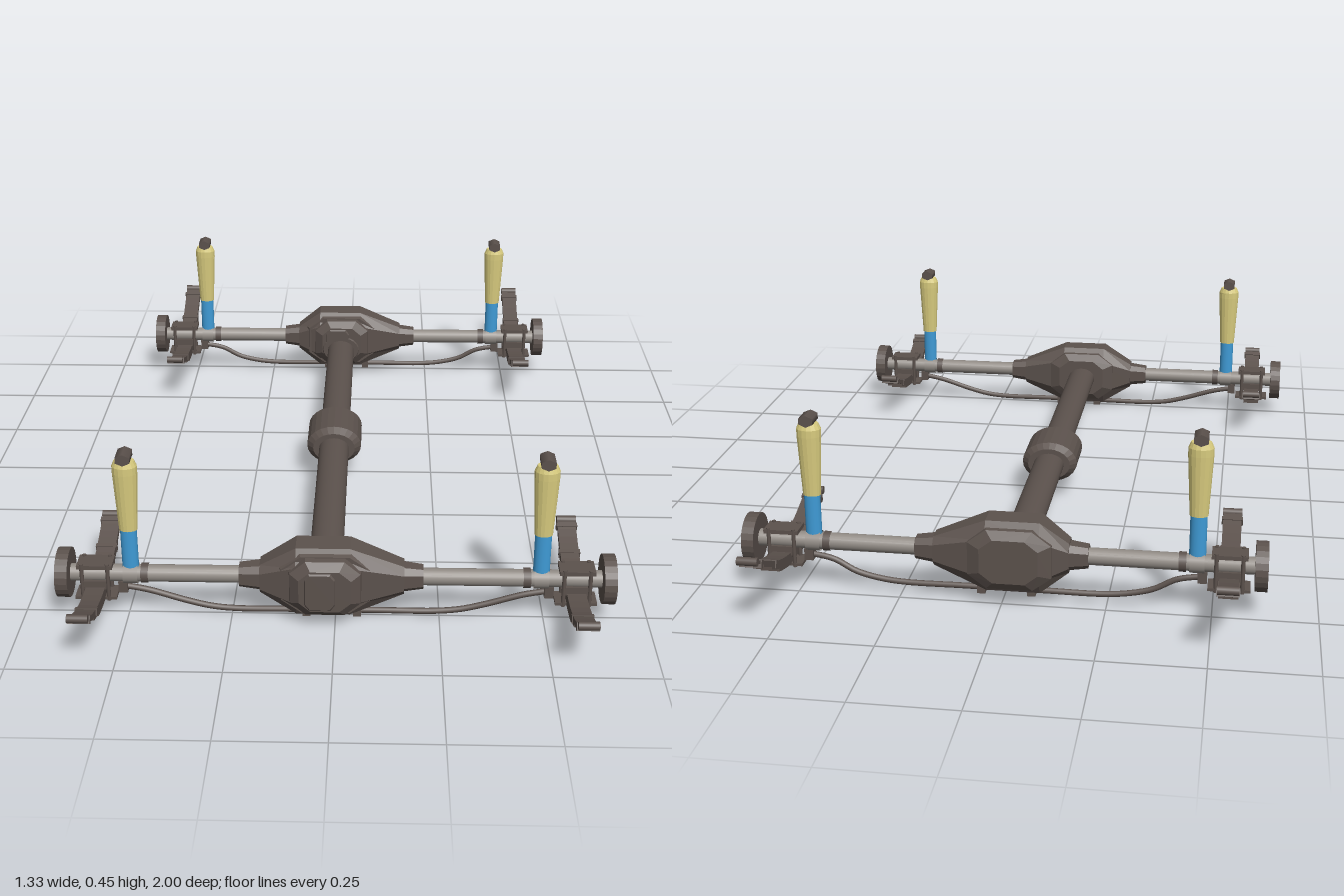
import * as THREE from 'three';

const material = (name, color, side = THREE.FrontSide) => {
  const m = new THREE.MeshStandardMaterial({ color, side });
  m.name = name;
  return m;
};

// Faceted solid through chamfered sections [t, halfU, halfV, centreU, chamfer] along x or z
function loft(axis, sections) {
  const rings = sections.map(([t, a, b, cu = 0, k = 0.45]) => {
    const p = 1 - k;
    return [[1, -p], [1, p], [p, 1], [-p, 1], [-1, p], [-1, -p], [-p, -1], [p, -1]].map(([u, v]) => {
      const U = cu + u * a, V = v * b;
      return axis === 'z' ? [U, V, t] : [t, U, V];
    });
  });
  const pos = [];
  const tri = (...pts) => pts.forEach((p) => pos.push(...p));
  for (let j = 0; j < rings.length - 1; j++) {
    for (let i = 0; i < 8; i++) {
      const n = (i + 1) % 8, r = rings[j], s = rings[j + 1];
      tri(r[i], r[n], s[n]);
      tri(r[i], s[n], s[i]);
    }
  }
  const first = rings[0], last = rings[rings.length - 1];
  for (let i = 1; i < 7; i++) {
    tri(first[0], first[i + 1], first[i]);
    tri(last[0], last[i], last[i + 1]);
  }
  const g = new THREE.BufferGeometry();
  g.setAttribute('position', new THREE.Float32BufferAttribute(pos, 3));
  g.computeVertexNormals();
  return g;
}

// Curved strip in the z-y plane, tapering in length around its middle
function leafGeometry(curve, from, to, drop, thickness, width) {
  const top = [], bottom = [];
  for (let i = 0; i <= 20; i++) {
    const p = curve.getPoint(from + (to - from) * i / 20);
    top.push(new THREE.Vector2(p.x, p.y - drop + thickness / 2));
    bottom.unshift(new THREE.Vector2(p.x, p.y - drop - thickness / 2));
  }
  const g = new THREE.ExtrudeGeometry(new THREE.Shape([...top, ...bottom]), { depth: width, bevelEnabled: false });
  g.translate(0, 0, -width / 2);
  g.rotateY(-Math.PI / 2);
  return g;
}

export function createModel() {
  const model = new THREE.Group();
  model.name = 'vehicleAxles';
  const dark = material('dark metal', 0x5c524d);
  const grey = material('grey metal', 0x918b85, THREE.DoubleSide);
  const blue = material('blue damper', 0x3f9bd6);
  const yellow = material('yellow sleeve', 0xd8cb7e);

  const add = (parent, name, geometry, mat, x = 0, y = 0, z = 0) => {
    const mesh = new THREE.Mesh(geometry, mat);
    mesh.name = name;
    mesh.position.set(x, y, z);
    parent.add(mesh);
    return mesh;
  };
  const box = (w, h, d) => new THREE.BoxGeometry(w, h, d);
  const rodX = (r, len, open = false) =>
    new THREE.CylinderGeometry(r, r, len, 20, 1, open).rotateZ(Math.PI / 2);
  const hardLathe = (pts, seg) => {
    const g = new THREE.LatheGeometry(pts.map((p) => new THREE.Vector2(...p)), seg).toNonIndexed();
    g.computeVertexNormals();
    return g;
  };

  // Ring-shaped wheel hub with a recessed outer face
  const hubGeo = hardLathe([[0.021, -0.015], [0.06, -0.015], [0.06, 0.015], [0.046, 0.015],
    [0.042, 0.004], [0.021, 0.004], [0.021, -0.015]], 24);

  function shock(parent, x, y) {
    const g = new THREE.Group();
    g.name = 'shockAbsorber';
    g.position.set(x, y, 0);
    g.scale.x = 1.33;
    parent.add(g);
    add(g, 'damperRod', new THREE.CylinderGeometry(0.015, 0.015, 0.13, 16), blue, 0, 0.065, 0);
    add(g, 'damperSleeve', hardLathe([[0, 0.12], [0.0165, 0.12], [0.0225, 0.27], [0.0225, 0.288],
      [0.018, 0.302], [0, 0.302]], 16), yellow);
    add(g, 'topBush', new THREE.CylinderGeometry(0.0145, 0.0145, 0.048, 6).rotateX(Math.PI / 2),
      dark, 0, 0.312, 0);
  }

  function leafSpring(parent, x, pts) {
    const g = new THREE.Group();
    g.name = 'leafSpring';
    g.position.x = x;
    parent.add(g);
    const curve = new THREE.SplineCurve(pts.map((p) => new THREE.Vector2(...p)));
    [0, 0.09, 0.19, 0.3].forEach((cut, i) =>
      add(g, 'leaf', leafGeometry(curve, cut, 1 - cut, i * 0.007, 0.008, 0.046), dark));
    for (const t of [0, 1]) {
      const p = curve.getPoint(t);
      add(g, 'springEye', rodX(0.01, 0.048), dark, 0, p.y, p.x);
    }
    for (const t of [0.06, 0.25, 0.75, 0.94]) {
      const p = curve.getPoint(t), d = curve.getTangent(t);
      const clip = add(g, 'springClip', box(0.052, 0.019, 0.012), dark, 0, p.y - 0.004, p.x);
      clip.rotation.x = -Math.atan2(d.y, d.x);
    }
  }

  function axle(name, o) {
    const g = new THREE.Group();
    g.name = name;
    g.position.z = o.z;
    model.add(g);
    const y = o.y, s = o.scale;

    // Hollow axle tube and central housing
    add(g, 'axleTube', rodX(0.021, o.hub * 2, true), grey, 0, y, 0);
    add(g, 'axleHousing', loft('x', [
      [-0.23 * s, 0.026, 0.025], [-0.18 * s, 0.032, 0.03], [-0.18 * s, 0.037, 0.036],
      [-0.093, 0.09, 0.055], [0.036, 0.09, 0.055],
      [0.164, 0.037, 0.036], [0.164, 0.032, 0.03], [0.21, 0.026, 0.025]]), dark, 0, y, 0);
    add(g, 'differentialCase', loft('z', [
      [-0.066, 0.07, 0.055], [-0.052, 0.1, 0.075], [0.035, 0.112, 0.08], [0.047, 0.105, 0.076],
      [0.047, 0.086, 0.074], [0.062, 0.084, 0.072], [0.079, 0.062, 0.054]]), dark, -0.023, y, 0);
    add(g, 'coverRidge', loft('z', [
      [0.07, 0.042, 0.058, 0, 0.3], [0.083, 0.034, 0.046, 0, 0.3]]), dark, -0.035, y, 0);

    // Drooping rod beneath the axle
    const e = o.rodEnd, b = o.rodY;
    const side = [[e, y - 0.035], [e - 0.06, y - 0.047], [0.36, b + 0.021], [0.3, b + 0.006], [0.24, b]];
    const path = [...side.map(([x, h]) => [-x, h]), [-0.1, b], [0.1, b], ...side.slice().reverse()];
    add(g, 'underRod', new THREE.TubeGeometry(new THREE.CatmullRomCurve3(
      path.map(([x, h]) => new THREE.Vector3(x, h, 0))), 60, 0.0075, 8), dark);
    for (const x of [-0.07, 0.052]) add(g, 'rodClamp', box(0.02, 0.022, 0.022), dark, x, b - 0.002, 0);

    for (const m of [-1, 1]) {
      const hub = add(g, 'wheelHub', hubGeo, dark, m * o.hub, y, 0);
      hub.rotation.z = -m * Math.PI / 2;
      add(g, 'tubeCollar', rodX(0.025, 0.035, true), grey, m * o.shock, y, 0);
      add(g, 'tubeStep', rodX(0.024, 0.018, true), dark, m * (o.shock - 0.034), y, 0);
      add(g, 'rodMount', box(0.022, 0.03, 0.024), dark, m * e, y - 0.034, 0);
      shock(g, m * o.shock, y);
      leafSpring(g, m * o.spring, o.leaf);

      // Spring seat with plates and clamping bolts
      add(g, 'seatTopPlate', box(0.085, 0.01, 0.054), dark, m * o.spring, y + 0.027, 0);
      add(g, 'seatBlock', box(0.056, 0.022, 0.05), dark, m * o.spring, y - 0.022, 0);
      add(g, 'seatBottomPlate', box(0.1, 0.007, 0.054), dark, m * o.spring, y - 0.056, 0);
      for (const dx of [-0.031, 0.031]) {
        for (const dz of [-0.023, 0.023]) {
          add(g, 'clampBolt', new THREE.CylinderGeometry(0.005, 0.005, 0.098, 8), dark,
            m * o.spring + dx, y - 0.014, dz);
        }
      }
    }
  }

  axle('frontAxle', {
    z: 0.75, y: 0.112, scale: 1, hub: 0.649, shock: 0.49, spring: 0.574, rodEnd: 0.51, rodY: 0.016,
    leaf: [[-0.24, 0.138], [-0.18, 0.113], [-0.1, 0.09], [0, 0.08], [0.1, 0.086], [0.18, 0.107], [0.24, 0.135]],
  });
  axle('rearAxle', {
    z: -0.725, y: 0.13, scale: 0.9, hub: 0.612, shock: 0.462, spring: 0.538, rodEnd: 0.475, rodY: 0.033,
    leaf: [[-0.265, 0.19], [-0.18, 0.149], [-0.1, 0.117], [0, 0.097], [0.09, 0.1], [0.18, 0.12], [0.265, 0.15]],
  });

  // Drive shaft with its central coupling
  const shaft = new THREE.Group();
  shaft.name = 'driveShaft';
  shaft.position.set(-0.025, 0.112, 0);
  shaft.scale.x = 1.33;
  model.add(shaft);
  add(shaft, 'shaftTube', new THREE.CylinderGeometry(0.031, 0.031, 1.36, 24).rotateX(Math.PI / 2),
    dark, 0, 0, 0.02);
  add(shaft, 'shaftCoupling', hardLathe([[0, -0.1], [0.044, -0.1], [0.057, -0.082], [0.057, 0.05],
    [0.044, 0.07], [0, 0.07]], 24).rotateX(Math.PI / 2), dark);
  add(shaft, 'pinionFlange', hardLathe([[0, -0.685], [0.054, -0.685], [0.054, -0.662], [0.042, -0.642],
    [0, -0.642]], 24).rotateX(Math.PI / 2), dark);
  return model;
}
